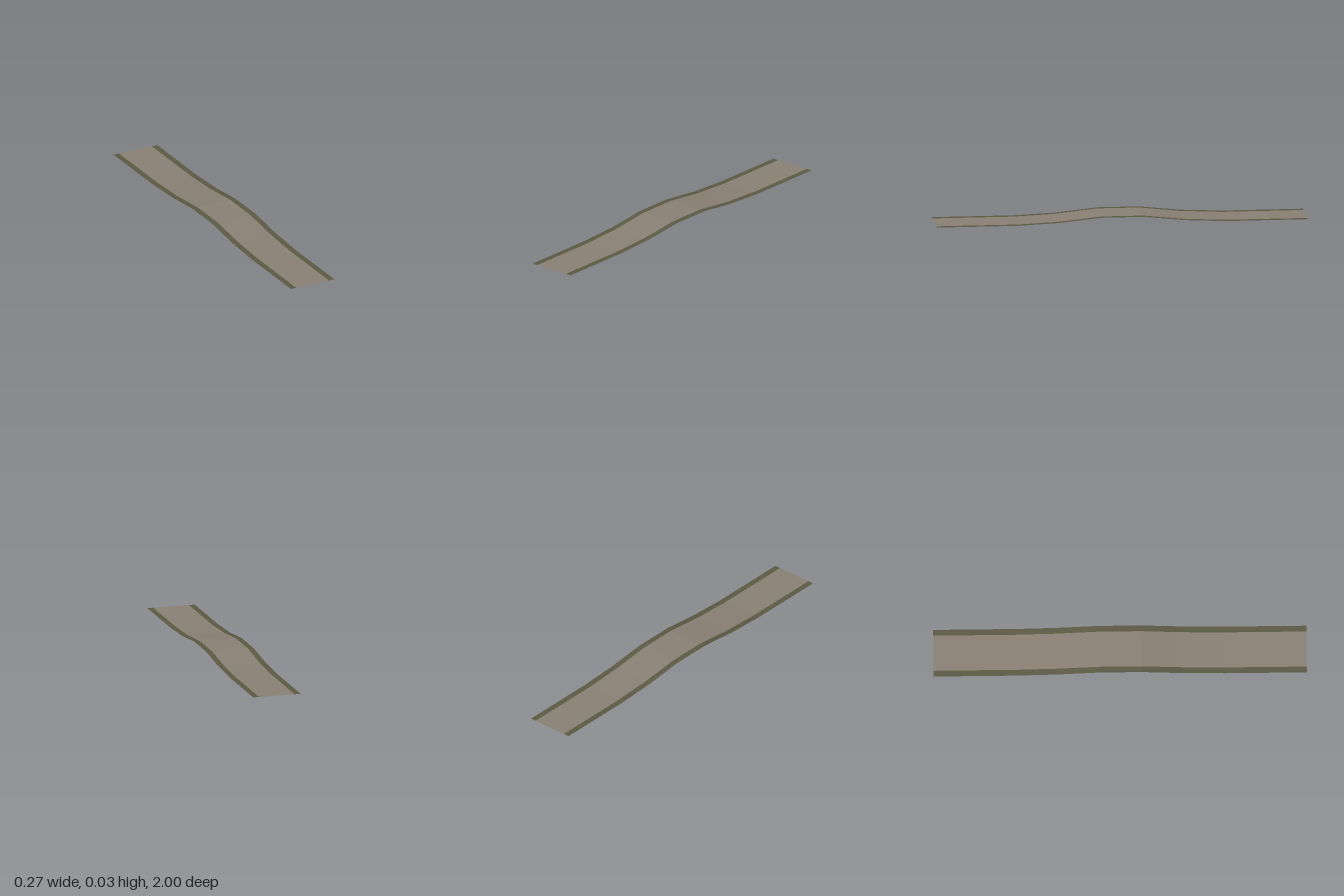
import * as THREE from 'three';

// Long profile of the track as [z, y], a gentle hump in the middle
const profile = [
  [1, 0], [0.56, 0], [0.338, 0.01], [0.112, 0.0335],
  [-0.112, 0.0335], [-0.338, 0.01], [-0.56, 0], [-1, 0],
];

// Open sheet between x0 and x1 that follows the profile
function strip(name, x0, x1, material, lift = 0) {
  const geometry = new THREE.PlaneGeometry(1, 1, 1, profile.length - 1);
  const pos = geometry.attributes.position;
  profile.forEach(([z, y], row) => {
    const h = y * (1 + lift);
    // rows run from back to front so that the faces point up
    const i = (profile.length - 1 - row) * 2;
    pos.setXYZ(i, x0, h, z);
    pos.setXYZ(i + 1, x1, h, z);
  });
  const flat = geometry.toNonIndexed();
  flat.computeVertexNormals();
  const mesh = new THREE.Mesh(flat, material);
  mesh.name = name;
  return mesh;
}

export function createModel() {
  const model = new THREE.Group();
  model.name = 'humpedPath';

  const paving = new THREE.MeshStandardMaterial({ color: 0x8a8075, side: THREE.DoubleSide, flatShading: true });
  paving.name = 'paving';
  const verge = new THREE.MeshStandardMaterial({ color: 0x5c5a43, side: THREE.DoubleSide, flatShading: true });
  verge.name = 'verge';

  // Paved surface, a hair proud of the verges at the crest
  model.add(strip('pathSurface', -0.1, 0.1, paving, 0.03));

  // Narrow verges along both sides
  model.add(strip('rightVerge', -0.133, -0.1, verge));
  model.add(strip('leftVerge', 0.1, 0.133, verge));

  return model;
}
